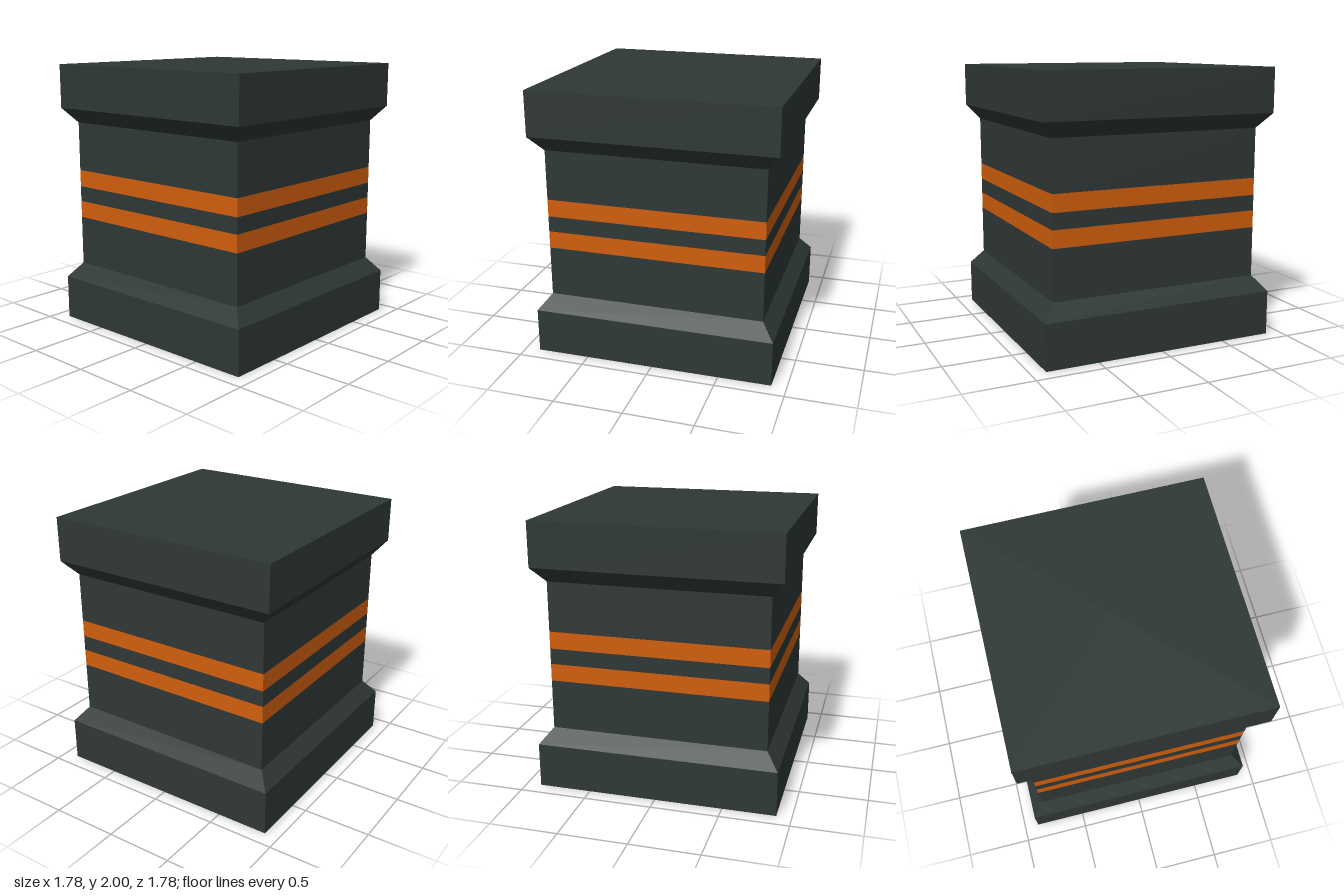
import * as THREE from 'three';

export function createModel() {
  const model = new THREE.Group();
  model.name = 'pillarBlock';

  const darkStone = new THREE.MeshStandardMaterial({ color: 0x2f3837, flatShading: true });
  darkStone.name = 'darkStone';
  const orangeBand = new THREE.MeshStandardMaterial({ color: 0xd25f0d, flatShading: true });
  orangeBand.name = 'orangeBand';

  const WIDE = 0.89; // half width of plinth and cap
  const SLIM = 0.8;  // half width of shaft

  // Square section between two heights; only the outer ends are closed
  function section(name, y0, y1, half0, half1, material, closed = false) {
    const geometry = new THREE.CylinderGeometry(
      half1 * Math.SQRT2, half0 * Math.SQRT2, y1 - y0, 4, 1, !closed);
    geometry.rotateY(Math.PI / 4);
    const mesh = new THREE.Mesh(geometry, material);
    mesh.name = name;
    mesh.position.y = (y0 + y1) / 2;
    model.add(mesh);
  }

  // Base
  section('plinth', 0, 0.333, WIDE, WIDE, darkStone, true);
  section('lowerBevel', 0.333, 0.445, WIDE, SLIM, darkStone);

  // Shaft with two flush bands
  section('lowerShaft', 0.445, 0.815, SLIM, SLIM, darkStone);
  section('lowerBand', 0.815, 0.943, SLIM, SLIM, orangeBand);
  section('middleShaft', 0.943, 1.06, SLIM, SLIM, darkStone);
  section('upperBand', 1.06, 1.188, SLIM, SLIM, orangeBand);
  section('upperShaft', 1.188, 1.558, SLIM, SLIM, darkStone);

  // Cap
  section('upperBevel', 1.558, 1.67, SLIM, WIDE, darkStone);
  section('cap', 1.67, 2, WIDE, WIDE, darkStone, true);

  return model;
}
